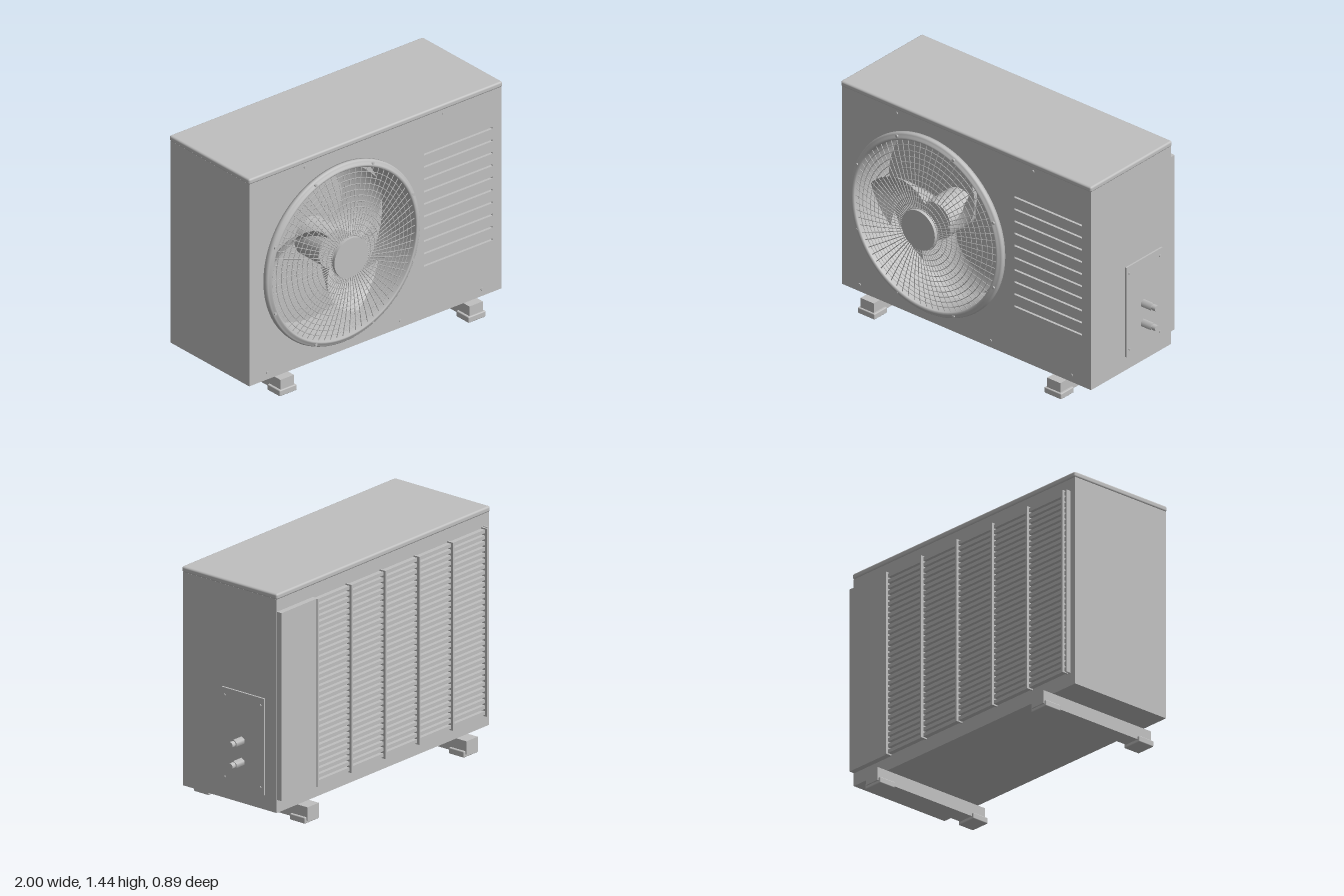
import * as THREE from 'three';
import { RoundedBoxGeometry } from 'three/addons/geometries/RoundedBoxGeometry.js';

const FAN = { x: -0.325, y: 0.75, hole: 0.535 };

export function createModel() {
  const model = new THREE.Group();
  model.name = 'outdoorUnit';
  const grey = new THREE.MeshStandardMaterial({ color: 0xbfbfbf });
  grey.name = 'casing grey';
  const greyThin = grey.clone();
  greyThin.side = THREE.DoubleSide;

  const add = (name, geometry, parent = model, material = grey) => {
    const mesh = new THREE.Mesh(geometry, material);
    mesh.name = name;
    parent.add(mesh);
    return mesh;
  };
  // Box given by its limits on each axis
  const box = (name, [x0, x1], [y0, y1], [z0, z1], parent = model, round = 0) => {
    const s = [x1 - x0, y1 - y0, z1 - z0];
    const g = round ? new RoundedBoxGeometry(...s, 2, round) : new THREE.BoxGeometry(...s);
    const m = add(name, g, parent);
    m.position.set((x0 + x1) / 2, (y0 + y1) / 2, (z0 + z1) / 2);
    return m;
  };
  // Cylinder along the z or x axis, starting at (x, y, z)
  const rod = (name, axis, r, length, x, y, z, sides = 24, parent = model) => {
    const g = new THREE.CylinderGeometry(r, r, length, sides).translate(0, length / 2, 0);
    if (axis === 'z') g.rotateX(Math.PI / 2);
    else g.rotateZ(-Math.PI / 2);
    const m = add(name, g, parent);
    m.position.set(x, y, z);
    return m;
  };

  // Casing: solid rear, then layers with the fan opening and the vent slots
  const X = [-0.995, 0.887], Y = [0.1, 1.406];
  const rectangle = (Kind, [x0, x1], [y0, y1]) => new Kind([
    new THREE.Vector2(x0, y0), new THREE.Vector2(x1, y0),
    new THREE.Vector2(x1, y1), new THREE.Vector2(x0, y1)]);
  const layer = (name, z0, z1, slots) => {
    const s = rectangle(THREE.Shape, X, Y);
    s.holes.push(new THREE.Path().absarc(FAN.x, FAN.y, FAN.hole, 0, Math.PI * 2, true));
    if (slots) for (let i = 0; i < 10; i++) {
      const y = 1.16 - i * 0.08;
      s.holes.push(rectangle(THREE.Path, [0.31, 0.82], [y - 0.006, y + 0.006]));
    }
    const g = new THREE.ExtrudeGeometry(s, { depth: z1 - z0, bevelEnabled: false, curveSegments: 48 });
    add(name, g).position.z = z0;
  };
  box('casingRear', X, Y, [-0.367, 0.08]);
  layer('casingFanBay', 0.08, 0.318, false);
  layer('frontPanel', 0.318, 0.336, true);
  box('lid', [-1, 0.892], [1.404, 1.44], [-0.374, 0.342], model, 0.012);

  // Front panel screws
  for (const [x, y] of [[-0.58, 1.38], [0.45, 1.38], [-0.86, 0.145], [0.13, 0.145], [0.74, 0.145]])
    rod('panelScrew', 'z', 0.009, 0.006, x, y, 0.335, 12);

  // Fan assembly, centred on its own axis
  const fan = new THREE.Group();
  fan.name = 'fanAssembly';
  fan.position.set(FAN.x, FAN.y, 0);
  model.add(fan);

  const rim = [[0.534, 0.33], [0.534, 0.382], [0.54, 0.388], [0.55, 0.388], [0.556, 0.38],
    [0.566, 0.379], [0.573, 0.373], [0.576, 0.363], [0.575, 0.348], [0.556, 0.345], [0.556, 0.335]]
    .map(([r, z]) => new THREE.Vector2(r, z));
  add('fanRim', new THREE.LatheGeometry(rim, 96).rotateX(Math.PI / 2), fan, greyThin);
  for (let i = 0; i < 8; i++) {
    const a = (i + 0.5) * Math.PI / 4;
    rod('rimClip', 'z', 0.009, 0.012, 0.557 * Math.cos(a), 0.557 * Math.sin(a), 0.377, 10, fan);
  }

  // Domed wire guard
  const domeZ = r => 0.428 - 0.2 * r * r;
  for (let i = 0; i <= 12; i++) {
    const r = 0.13 + i * 0.034;
    add('guardRing', new THREE.TorusGeometry(r, 0.0025, 5, 72), fan).position.z = domeZ(r);
  }
  const spokePoints = [0.12, 0.23, 0.34, 0.45, 0.538].map(r => new THREE.Vector3(r, 0, domeZ(r)));
  const spoke = new THREE.TubeGeometry(new THREE.CatmullRomCurve3(spokePoints), 8, 0.0025, 5);
  for (let i = 0; i < 72; i++) add('guardSpoke', spoke, fan).rotation.z = i * Math.PI / 36;
  rod('guardCap', 'z', 0.126, 0.032, 0, 0, 0.413, 48, fan);

  // Impeller: hub and three swept, pitched blades
  rod('fanHub', 'z', 0.12, 0.22, 0, 0, 0.08, 40, fan);
  const rad = THREE.MathUtils.degToRad;
  const blade = new THREE.PlaneGeometry(1, 1, 12, 14);
  const p = blade.attributes.position;
  for (let i = 0; i < p.count; i++) {
    const u = p.getX(i) + 0.5, v = p.getY(i) + 0.5;
    const sweep = u * u * 0.6 + u * 0.4;
    const r = 0.11 + 0.385 * u - 0.03 * u * (2 * v - 1) ** 2;
    const a = rad(2 + 46 * sweep + v * (38 + 3 * u));
    const z = 0.2 - (v - 0.5) * (0.17 - 0.05 * u) + 0.04 * u + 0.03 * (2 * v - 1) ** 2;
    p.setXYZ(i, r * Math.cos(a), r * Math.sin(a), z);
  }
  blade.computeVertexNormals();
  for (let i = 0; i < 3; i++) add('fanBlade', blade, fan, greyThin).rotation.z = i * Math.PI * 2 / 3;

  // Rear coil guard: slats, upright bars and a plain cover panel
  const rear = new THREE.Group();
  rear.name = 'rearGuard';
  model.add(rear);
  const slats = 32;
  for (let i = 0; i < slats; i++) {
    const y = 0.2 + i * 1.11 / (slats - 1);
    box('rearSlat', [-0.945, 0.575], [y - 0.011, y + 0.011], [-0.396, -0.366], rear);
  }
  for (let i = 0; i < 6; i++) {
    const x = -0.93 + i * 0.3;
    box('rearBar', [x - 0.006, x + 0.006], [0.18, 1.33], [-0.412, -0.366], rear);
  }
  box('rearEdge', [-0.955, -0.945], [0.18, 1.33], [-0.398, -0.366], rear);
  box('rearCover', [0.576, 0.884], [0.18, 1.33], [-0.402, -0.366], rear);

  // Service plate with screws and two pipe valves on the left side
  box('servicePlate', [0.885, 0.898], [0.19, 0.78], [-0.28, 0.037]);
  for (const y of [0.235, 0.735]) for (const z of [-0.255, 0.013])
    rod('plateScrew', 'x', 0.007, 0.008, 0.896, y, z, 12);
  for (const y of [0.355, 0.485]) {
    rod('valveNut', 'x', 0.026, 0.075, 0.896, y, -0.113, 6).rotation.x = Math.PI / 2;
    rod('valveEnd', 'x', 0.019, 0.032, 0.968, y, -0.113, 20);
  }

  // Support rails with wider pads at both ends
  for (const x of [-0.757, 0.652]) {
    box('supportRail', [x - 0.05, x + 0.05], [0.018, 0.1], [-0.442, 0.39]);
    box('footPad', [x - 0.064, x + 0.064], [0, 0.038], [0.288, 0.4], model, 0.006);
    box('footPad', [x - 0.064, x + 0.064], [0, 0.038], [-0.434, -0.32], model, 0.006);
  }
  return model;
}
